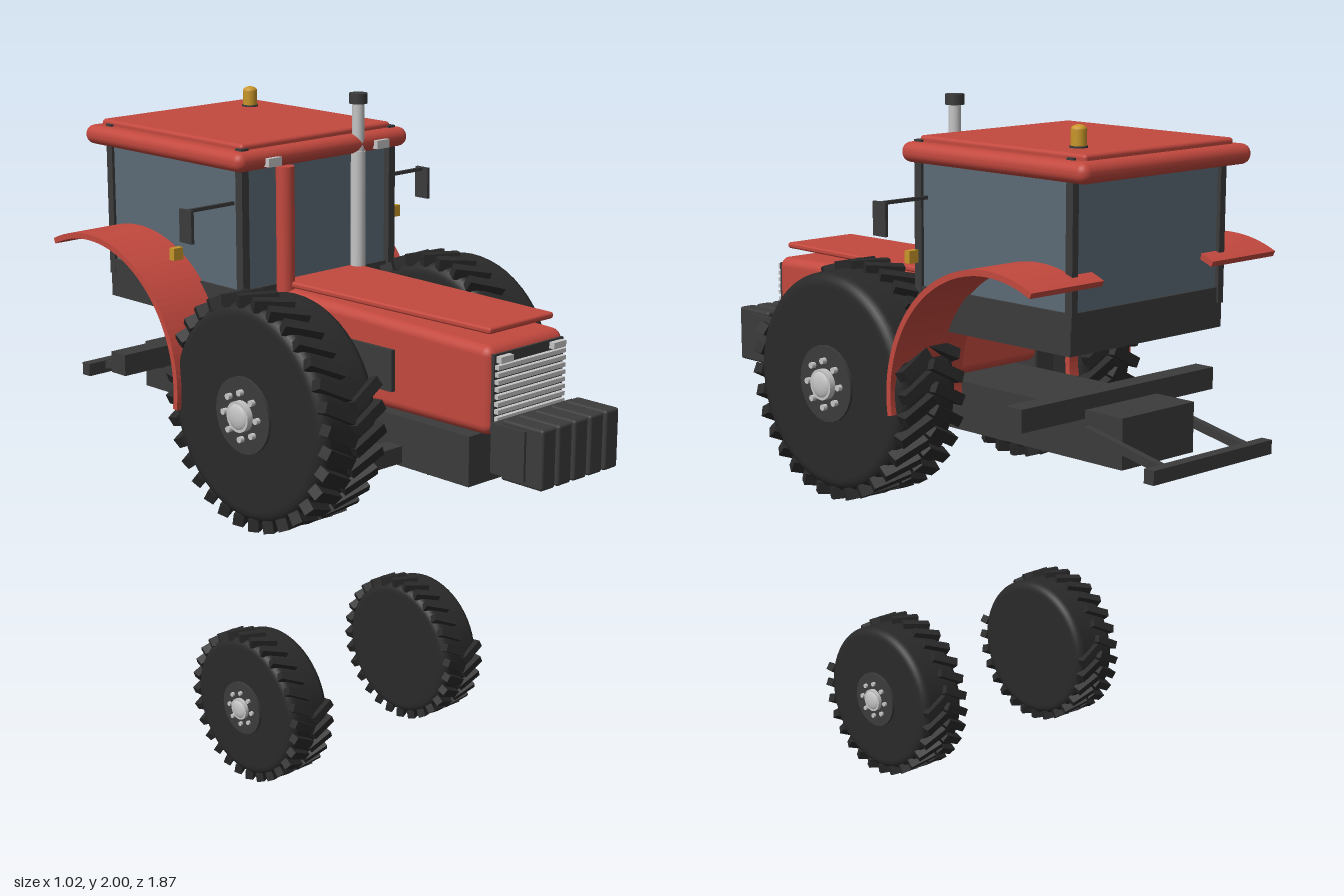
import * as THREE from 'three';
import { RoundedBoxGeometry } from 'three/addons/geometries/RoundedBoxGeometry.js';

const mat = (name, color, side = THREE.FrontSide) => {
  const m = new THREE.MeshStandardMaterial({ color, side });
  m.name = name;
  return m;
};

export function createModel() {
  const red = mat('red paint', 0xc2483e);
  const dark = mat('dark frame', 0x3b3b3b);
  const rubber = mat('rubber', 0x292929);
  const glass = mat('tinted glass', 0x5b6b75);
  const silver = mat('bright metal', 0xc4c4c4);
  const amber = mat('amber lens', 0xc8962a);

  const model = new THREE.Group();
  model.name = 'tractor';

  const add = (name, geo, material, x = 0, y = 0, z = 0, parent = model) => {
    const m = new THREE.Mesh(geo, material);
    m.name = name;
    m.position.set(x, y, z);
    parent.add(m);
    return m;
  };
  // Box given by its limits on each axis
  const box = (name, material, [x0, x1], [y0, y1], [z0, z1], round = 0) => {
    const s = [x1 - x0, y1 - y0, z1 - z0];
    const geo = round ? new RoundedBoxGeometry(...s, 4, round) : new THREE.BoxGeometry(...s);
    return add(name, geo, material, (x0 + x1) / 2, (y0 + y1) / 2, (z0 + z1) / 2);
  };
  const pair = (name, material, [x0, x1], ys, zs, round) => {
    box(name + 'Left', material, [x0, x1], ys, zs, round);
    box(name + 'Right', material, [-x1, -x0], ys, zs, round);
  };
  const rod = (name, material, r, x, y0, y1, z) =>
    add(name, new THREE.CylinderGeometry(r, r, y1 - y0, 24), material, x, (y0 + y1) / 2, z);

  // Wheels: rounded tire, chevron lugs, outer hub with bolts
  function wheel(name, side, x, y, z, R, half, count, k) {
    const g = new THREE.Group();
    g.name = name;
    g.position.set(side * x, y, z);
    model.add(g);
    const body = R - 0.025 * k, c = 0.035 * k;
    const prof = [new THREE.Vector2(0, -half), new THREE.Vector2(body - c - 0.005, -half)];
    for (const s of [-1, 1]) {
      for (let i = 0; i <= 6; i++) {
        const a = s * Math.PI / 2 * (s < 0 ? 1 - i / 6 : i / 6);
        prof.push(new THREE.Vector2(body - c + c * Math.cos(a), s * (half - c) + c * Math.sin(a)));
      }
    }
    prof.push(new THREE.Vector2(body - c - 0.005, half), new THREE.Vector2(0, half));
    add('tire', new THREE.LatheGeometry(prof, 56).rotateZ(-Math.PI / 2), rubber, 0, 0, 0, g);

    // Full ring of lugs on one half, lower arc on the other
    const lugGeo = new THREE.BoxGeometry(half * 1.06, 0.036 * k, 0.032 * k);
    for (let i = 0; i < count; i++) {
      for (const s of [-1, 1]) {
        const t = (i + (s > 0 ? 0.5 : 0)) / count * Math.PI * 2;
        if (s > 0 && Math.cos(t) > 0.3) continue;
        const pivot = new THREE.Group();
        pivot.name = 'lugPivot';
        pivot.rotation.x = t;
        g.add(pivot);
        const lug = add('lug', lugGeo, rubber, s * half * 0.5, R - 0.02 * k, 0, pivot);
        lug.rotation.y = s * 0.48;
      }
    }
    // Hub
    const disc = (nm, r, len, m, px, py = 0, pz = 0) =>
      add(nm, new THREE.CylinderGeometry(r, r, len, 24).rotateZ(Math.PI / 2), m, side * px, py, pz, g);
    disc('hubPlate', 0.112 * k, 0.012, dark, half + 0.003);
    disc('hub', 0.045 * k, 0.03 * k, silver, half + 0.013 * k);
    const dome = add('hubDome', new THREE.SphereGeometry(0.04 * k, 20, 12), silver, side * (half + 0.023 * k), 0, 0, g);
    dome.scale.x = 0.35;
    for (let i = 0; i < 8; i++) {
      const a = i * Math.PI / 4;
      disc('bolt', 0.009 * k, 0.026 * k, silver, half + 0.01 * k, 0.068 * k * Math.sin(a), 0.068 * k * Math.cos(a));
    }
  }
  for (const s of [1, -1]) {
    const n = s > 0 ? 'Left' : 'Right';
    wheel('largeWheel' + n, s, 0.365, 1.185, 0.11, 0.343, 0.109, 32, 1);
    wheel('smallWheel' + n, s, 0.322, 0.235, 0, 0.232, 0.075, 28, 0.72);
  }

  // Chassis, axle, tank and rear hitch
  box('chassis', dark, [-0.146, 0.146], [1.03, 1.175], [-0.735, 0.66]);
  box('axle', dark, [-0.27, 0.27], [1.04, 1.09], [0.345, 0.405]);
  box('sideTank', dark, [-0.26, -0.175], [1.11, 1.285], [-0.08, 0.08], 0.012);
  box('rearBeam', dark, [-0.39, 0.39], [1.15, 1.215], [-0.595, -0.53]);
  for (const s of [1, -1]) {
    const arm = box('hitchArm', dark, [s * 0.17 - 0.011, s * 0.17 + 0.011], [1.085, 1.11], [-0.92, -0.62]);
    arm.rotation.x = -0.2;
  }
  box('hitchBar', dark, [-0.245, 0.24], [1.045, 1.085], [-0.935, -0.9]);

  // Front weights
  box('weightCarrier', dark, [-0.165, 0.165], [1.1, 1.24], [0.755, 0.875]);
  for (let i = -2; i <= 2; i++) {
    const x = i * 0.0645;
    box('weight', dark, [x - 0.028, x + 0.028], [1.085, 1.255], [0.785, 0.932], 0.008);
  }

  // Hood, narrowing and dropping toward the front
  const taper = (mesh, len, narrow, rise) => {
    const p = mesh.geometry.attributes.position;
    for (let i = 0; i < p.count; i++) {
      const t = p.getZ(i) / len + 0.5;
      p.setX(i, p.getX(i) * (1 - narrow * t));
      if (p.getY(i) > 0) p.setY(i, p.getY(i) + rise * (1 - t));
    }
  };
  taper(box('hood', red, [-0.175, 0.175], [1.19, 1.44], [-0.1, 0.735], 0.03), 0.835, 0.13, 0.025);
  taper(box('hoodPanel', red, [-0.152, 0.152], [1.468, 1.486], [-0.09, 0.713], 0.007), 0.803, 0.15, 0);
  pair('hoodVent', dark, [0.155, 0.176], [1.25, 1.37], [0, 0.39]);

  // Grille and headlights
  box('grille', dark, [-0.14, 0.14], [1.205, 1.42], [0.72, 0.74]);
  for (let i = 0; i < 9; i++) {
    const y = 1.215 + i * 0.0205;
    box('grilleSlat', silver, [-0.137, 0.137], [y, y + 0.012], [0.735, 0.754]);
  }
  pair('headlight', silver, [0.082, 0.132], [1.397, 1.415], [0.735, 0.758]);

  // Cab
  box('cabBase', dark, [-0.305, 0.305], [1.36, 1.475], [-0.69, -0.09]);
  box('cabGlass', glass, [-0.297, 0.297], [1.47, 1.83], [-0.683, -0.1]);
  pair('frontPillar', dark, [0.28, 0.306], [1.43, 1.886], [-0.108, -0.08]);
  pair('rearPillar', dark, [0.284, 0.306], [1.43, 1.886], [-0.695, -0.67]);
  box('roof', red, [-0.34, 0.34], [1.823, 1.88], [-0.765, -0.052], 0.027);
  box('roofPanel', red, [-0.296, 0.296], [1.87, 1.897], [-0.728, -0.09], 0.01);
  pair('roofLight', silver, [0.19, 0.24], [1.832, 1.857], [-0.07, -0.038]);

  // Beacon
  rod('beaconBase', dark, 0.025, 0.19, 1.893, 1.902, -0.602);
  rod('beacon', amber, 0.022, 0.19, 1.9, 1.945, -0.602);
  const top = add('beaconTop', new THREE.SphereGeometry(0.022, 20, 12), amber, 0.19, 1.945, -0.602);
  top.scale.y = 0.6;

  // Exhaust and air intake
  rod('exhaustMuffler', silver, 0.022, 0.142, 1.44, 1.83, -0.07);
  rod('exhaustPipe', silver, 0.018, 0.142, 1.82, 1.975, -0.07);
  rod('exhaustCap', dark, 0.027, 0.142, 1.97, 2, -0.07);
  rod('airIntake', red, 0.027, -0.15, 1.43, 1.822, -0.07);

  // Mirrors and marker lamps
  pair('mirrorArm', dark, [0.3, 0.478], [1.722, 1.732], [-0.13, -0.12]);
  pair('mirror', dark, [0.468, 0.478], [1.637, 1.732], [-0.152, -0.1]);
  pair('markerLamp', amber, [0.422, 0.456], [1.57, 1.605], [-0.225, -0.205]);

  // Fenders: curved bands, extruded sideways
  const arc = new THREE.Shape();
  const a0 = -0.15, a1 = 2.01;
  arc.absarc(0, 0, 0.397, a0, a1, false);
  arc.absarc(0, 0, 0.38, a1, a0, true);
  const fender = new THREE.ExtrudeGeometry(arc, { depth: 0.27, bevelEnabled: false, curveSegments: 18 });
  fender.rotateY(-Math.PI / 2);
  add('fenderLeft', fender, red, 0.49, 1.2, -0.56);
  add('fenderRight', fender, red, -0.22, 1.2, -0.56);

  return model;
}
